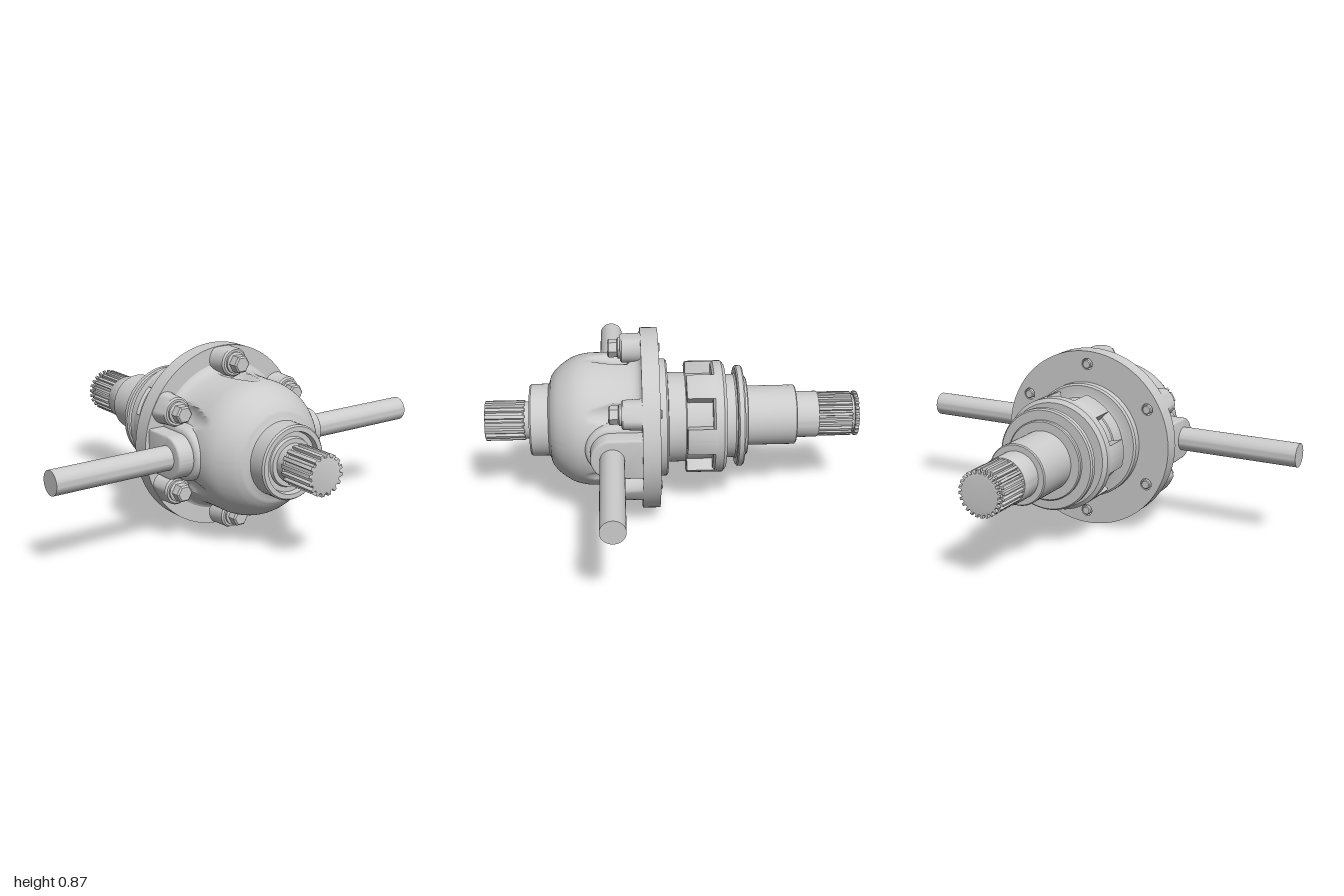
import * as THREE from 'three';
import { toCreasedNormals } from 'three/addons/utils/BufferGeometryUtils.js';

const AXIS_Y = 0.433, FLANGE_R = 0.433, BOLT_R = 0.37;
const material = new THREE.MeshStandardMaterial({ color: 0xcccccc, roughness: 0.6 });

function add(parent, name, geometry, crease = 0.6) {
  const mesh = new THREE.Mesh(toCreasedNormals(geometry, crease), material);
  mesh.name = name;
  parent.add(mesh);
  return mesh;
}

// Turned part around the x axis from [x, radius] pairs, x increasing
function turned(profile, segments = 72) {
  const pts = profile.map(([x, r]) => new THREE.Vector2(r, x));
  return new THREE.LatheGeometry(pts, segments).rotateZ(-Math.PI / 2);
}

// Shape extruded along +x from x0 to x1
function alongX(shape, x0, x1, bevel = 0) {
  const g = new THREE.ExtrudeGeometry(shape, {
    depth: x1 - x0 - 2 * bevel, curveSegments: 48, bevelEnabled: bevel > 0,
    bevelThickness: bevel, bevelSize: bevel, bevelOffset: -bevel, bevelSegments: 2,
  });
  return g.rotateY(Math.PI / 2).translate(x0 + bevel, 0, 0);
}

// Toothed outline for the splined shaft ends
function splineShape(teeth, root, tip) {
  const s = new THREE.Shape();
  for (let i = 0; i < teeth; i++) {
    [[0.0, root], [0.36, root], [0.46, tip], [0.9, tip]].forEach(([f, r], k) => {
      const a = ((i + f) / teeth) * Math.PI * 2;
      s[i + k ? 'lineTo' : 'moveTo'](Math.cos(a) * r, Math.sin(a) * r);
    });
  }
  s.closePath();
  return s;
}

// Arch outline: round end towards +x, straight sides running back to the flange
function archShape(r) {
  const s = new THREE.Shape();
  s.moveTo(0.12, -r);
  s.lineTo(0.288, -r);
  s.absarc(0.288, 0, r, -Math.PI / 2, Math.PI / 2, false);
  s.lineTo(0.12, r);
  s.closePath();
  return s;
}

const boltAngles = Array.from({ length: 6 }, (_, i) => Math.PI / 2 + i * Math.PI / 3);

// Domed housing with hollows scooped out beside each bolt head
function housingGeometry() {
  const curve = new THREE.CatmullRomCurve3([
    [0.145, 0.36], [0.157, 0.342], [0.18, 0.329], [0.25, 0.32], [0.33, 0.318], [0.4, 0.316],
    [0.46, 0.302], [0.51, 0.274], [0.55, 0.24], [0.572, 0.21],
  ].map(([x, r]) => new THREE.Vector3(x, r, 0)));
  const profile = curve.getPoints(40).map((p) => [p.x, p.y]);
  profile.push([0.575, 0.2], [0.577, 0.19], [0.585, 0.172]);
  const g = turned(profile, 180);
  const pos = g.attributes.position;
  for (let i = 0; i < pos.count; i++) {
    const x = pos.getX(i);
    if (x < 0.2 || x > 0.45) continue;
    const clear = 0.08 - 0.03 * THREE.MathUtils.clamp((x - 0.27) / 0.17, 0, 1);
    const y = pos.getY(i), z = pos.getZ(i), r = Math.hypot(y, z), a = Math.atan2(y, z);
    for (const b of boltAngles) {
      const side = BOLT_R * Math.sin(a - b);
      if (Math.cos(a - b) < 0 || Math.abs(side) >= clear) continue;
      const limit = BOLT_R * Math.cos(a - b) - Math.sqrt(clear * clear - side * side);
      if (limit < r) pos.setXYZ(i, x, (y / r) * limit, (z / r) * limit);
    }
  }
  return g;
}

export function createModel() {
  const model = new THREE.Group();
  model.name = 'differential';
  const body = new THREE.Group();
  body.name = 'axisAssembly';
  body.position.y = AXIS_Y;
  model.add(body);

  // Input shaft with splined end
  add(body, 'inputSplineTip', alongX(splineShape(24, 0.093, 0.107), -0.895, -0.874, 0.005));
  add(body, 'inputSpline', alongX(splineShape(24, 0.093, 0.107), -0.862, -0.69, 0.004));
  add(body, 'inputShaft', turned([
    [-0.88, 0], [-0.88, 0.088], [-0.7, 0.088], [-0.7, 0.108], [-0.695, 0.111], [-0.592, 0.111],
    [-0.592, 0.138], [-0.587, 0.143], [-0.34, 0.143], [-0.34, 0],
  ]));

  // Clutch collar with its shift groove
  add(body, 'clutchCollar', turned([
    [-0.355, 0.14], [-0.355, 0.185], [-0.35, 0.19], [-0.337, 0.19], [-0.337, 0.235], [-0.33, 0.242],
    [-0.308, 0.242], [-0.302, 0.235], [-0.302, 0.205], [-0.295, 0.2], [-0.25, 0.2],
    [-0.25, 0.25], [-0.235, 0.268], [-0.195, 0.268], [-0.185, 0.255], [-0.185, 0.2],
  ]));

  // Clutch teeth: six ring segments
  for (let i = 0; i < 6; i++) {
    const s = new THREE.Shape();
    const a = i * Math.PI / 3, h = Math.PI / 12.5;
    s.absarc(0, 0, 0.268, a - h, a + h, false);
    s.absarc(0, 0, 0.2, a + h, a - h, true);
    s.closePath();
    add(body, 'clutchTooth', alongX(s, -0.215, -0.062, 0.01));
  }

  // Driven hub and backing ring
  add(body, 'drivenHub', turned([
    [-0.2, 0], [-0.2, 0.21], [-0.065, 0.21], [-0.06, 0.215], [0.02, 0.215], [0.024, 0.225],
    [0.024, 0.272], [0.032, 0.281], [0.07, 0.281],
  ]));

  // Bolted flange
  const flange = new THREE.Shape().absarc(0, 0, FLANGE_R, 0, Math.PI * 2, false);
  for (const a of boltAngles) {
    flange.holes.push(new THREE.Path().absarc(
      Math.cos(a) * BOLT_R, Math.sin(a) * BOLT_R, 0.028, 0, Math.PI * 2, true));
  }
  add(body, 'flange', alongX(flange, 0.066, 0.148));

  add(body, 'housing', housingGeometry(), 0.5);

  // Bolts with their bosses
  for (const a of boltAngles) {
    const cy = Math.sin(a) * BOLT_R, cz = Math.cos(a) * BOLT_R;
    const boss = turned([[0.14, 0.078], [0.155, 0.072], [0.235, 0.068], [0.243, 0.06], [0.243, 0]], 36)
      .translate(0, cy, cz);
    const p = boss.attributes.position;
    for (let i = 0; i < p.count; i++) {
      const k = Math.min(1, (FLANGE_R - 0.003) / Math.hypot(p.getY(i), p.getZ(i)));
      p.setXYZ(i, p.getX(i), p.getY(i) * k, p.getZ(i) * k);
    }
    add(body, 'boltBoss', boss);

    const bolt = new THREE.Group();
    bolt.name = 'bolt';
    bolt.position.set(0, cy, cz);
    body.add(bolt);
    add(bolt, 'boltShank', turned([[0.057, 0], [0.057, 0.018], [0.062, 0.022], [0.2, 0.022]], 20));
    add(bolt, 'boltWasher', turned([[0.243, 0.05], [0.252, 0.05], [0.257, 0.042], [0.257, 0]], 32));
    add(bolt, 'boltHead', turned([[0.25, 0.043], [0.295, 0.043], [0.302, 0.035], [0.302, 0]], 6), 0.2);
  }

  // Cross shaft and the arched bosses that carry it
  const rod = new THREE.CylinderGeometry(0.057, 0.057, 2, 40).rotateX(Math.PI / 2).translate(0.288, 0, 0);
  add(body, 'crossShaft', rod);
  for (const side of [0, 1]) {
    const boss = new THREE.Group();
    boss.name = 'crossShaftBoss';
    boss.rotation.x = side * Math.PI;
    body.add(boss);
    const layers = [[0.1, 0.2, 0.412, 0.01], [0.125, 0.2, 0.335, 0.025]];
    for (const [r, z0, z1, b] of layers) {
      add(boss, 'archBoss', new THREE.ExtrudeGeometry(archShape(r), {
        depth: z1 - z0 - b, curveSegments: 24, bevelThickness: b, bevelSize: b,
        bevelOffset: -b, bevelSegments: 3,
      }).translate(0, 0, z0));
    }
  }

  // Output hub with recessed seal
  add(body, 'outputHub', turned([
    [0.55, 0.172], [0.667, 0.172], [0.675, 0.165], [0.675, 0.143], [0.65, 0.138],
    [0.65, 0.115], [0.665, 0.11], [0.665, 0.085],
  ]));

  // Output shaft with splined end
  add(body, 'outputShaft', turned([[0.6, 0.088], [0.705, 0.088], [0.712, 0.082], [0.88, 0.082], [0.88, 0]]));
  add(body, 'outputSpline', alongX(splineShape(16, 0.081, 0.096), 0.7, 0.89, 0.004));

  return model;
}
